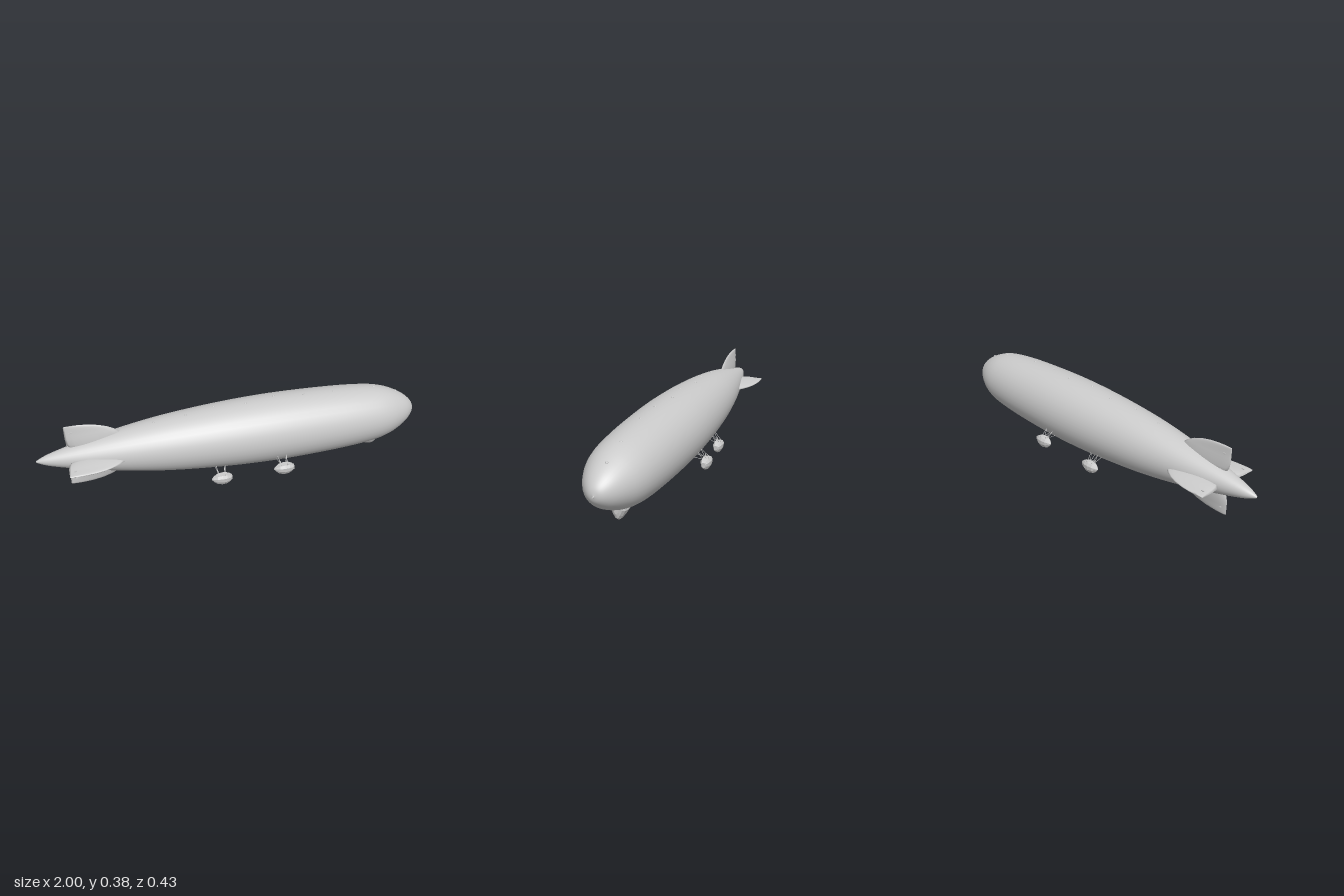
import * as THREE from 'three';

const AXIS = 0.208; // height of the hull centre line
const grey = new THREE.MeshStandardMaterial({ color: 0xcccccc });
const faceted = new THREE.MeshStandardMaterial({ color: 0xcccccc, flatShading: true });

// hull profile: [x, radius] from tail to nose
const PROFILE = [[-1, 0.002], [-0.985, 0.011], [-0.93, 0.032], [-0.8, 0.065], [-0.6, 0.106], [-0.4, 0.137],
  [-0.2, 0.157], [0, 0.17], [0.2, 0.1755], [0.4, 0.173], [0.6, 0.165], [0.74, 0.152], [0.82, 0.135],
  [0.88, 0.111], [0.93, 0.083], [0.965, 0.054], [0.985, 0.028], [0.992, 0.003]];

function hullRadius(x) {
  const i = Math.max(1, PROFILE.findIndex((p) => p[0] >= x));
  const [a, b] = [PROFILE[i - 1], PROFILE[i]];
  return THREE.MathUtils.lerp(a[1], b[1], (x - a[0]) / (b[0] - a[0]));
}

function add(parent, name, geometry, material = grey) {
  const mesh = new THREE.Mesh(geometry, material);
  mesh.name = name;
  parent.add(mesh);
  return mesh;
}

// skin over equal-sized rings of [x, y, z], closed at both ends
function loft(rings) {
  const n = rings[0].length, index = [];
  const pos = rings.flat();
  for (let i = 0; i < rings.length - 1; i++) {
    for (let j = 0; j < n; j++) {
      const a = i * n + j, b = i * n + (j + 1) % n;
      index.push(a, b, b + n, a, b + n, a + n);
    }
  }
  const last = (rings.length - 1) * n;
  for (let j = 1; j < n - 1; j++) index.push(0, j + 1, j, last, last + j, last + j + 1);
  const g = new THREE.BufferGeometry();
  g.setAttribute('position', new THREE.Float32BufferAttribute(pos.flat(), 3));
  g.setIndex(index);
  g.computeVertexNormals();
  return g;
}

function rod(parent, name, from, to, radius) {
  const a = new THREE.Vector3(...from), b = new THREE.Vector3(...to);
  const mesh = add(parent, name, new THREE.CylinderGeometry(radius, radius, a.distanceTo(b), 6));
  mesh.position.copy(a).add(b).multiplyScalar(0.5);
  mesh.quaternion.setFromUnitVectors(new THREE.Vector3(0, 1, 0), b.sub(a).normalize());
}

// tail fin standing along +y, with lens sections shrinking towards the tip
function finGeometry(span) {
  const sections = [[0.03, -0.56, -0.82, 0.02], [0.075, -0.57, -0.845, 0.019], [0.105, -0.58, -0.85, 0.016],
    [0.125, -0.605, -0.85, 0.012], [0.145, -0.64, -0.85, 0.009], [0.16, -0.68, -0.85, 0.007],
    [0.17, -0.725, -0.85, 0.005], [0.175, -0.77, -0.848, 0.003]];
  return loft(sections.map(([u, lead, trail, t]) => {
    const ring = [];
    for (let k = 0; k < 16; k++) {
      const a = k / 16 * Math.PI * 2;
      const x = (lead + trail) / 2 + Math.sin(a) * (lead - trail) / 2;
      ring.push([x, u * span / 0.175, Math.cos(a) * t]);
    }
    return ring;
  }));
}

// engine car with vents and struts; side is +1 or -1 along z
function engineCar(x, y, z, side) {
  const car = new THREE.Group();
  car.name = 'engineCar';
  const outline = [[0.029, -0.016], [0.029, 0.016], [0.014, 0.025], [-0.008, 0.023],
    [-0.027, 0.012], [-0.032, 0], [-0.027, -0.012], [-0.008, -0.023], [0.014, -0.025]];
  const stations = [[-0.054, 0.08], [-0.044, 0.42], [-0.026, 0.82], [0, 1], [0.024, 0.93], [0.042, 0.68], [0.051, 0.42]];
  const body = loft(stations.map(([sx, s]) => outline.map(([py, pz]) => [sx, py * s + (1 - s) * 0.006, pz * s])));
  add(car, 'carBody', body, faceted).position.set(x, y, z * side);
  add(car, 'carWindow', new THREE.BoxGeometry(0.004, 0.022, 0.019), faceted).position.set(x + 0.05, y + 0.005, z * side);
  // exhaust stubs on the roof
  for (const [dx, dz] of [[-0.018, -0.013], [0.014, 0.013]]) {
    add(car, 'exhaust', new THREE.CylinderGeometry(0.003, 0.003, 0.012, 8)).position.set(x + dx, y + 0.031, (z + dz) * side);
  }
  // paired struts reaching the hull
  for (const dx of [-0.024, 0.024]) {
    const r = hullRadius(x + dx) - 0.002;
    const foot = (angle) => [x + dx, AXIS - Math.cos(angle) * r, Math.sin(angle) * r * side];
    const mid = Math.atan2(z, AXIS - y);
    rod(car, 'strut', [x + dx * 0.6, y + 0.022, (z - 0.016) * side], foot(mid + 0.13), 0.0012);
    rod(car, 'strut', [x + dx * 0.6, y + 0.026, (z + 0.008) * side], foot(mid + 0.13), 0.0012);
    rod(car, 'strut', [x + dx * 0.6, y + 0.022, (z - 0.016) * side], foot(mid - 0.08), 0.0012);
  }
  return car;
}

export function createModel() {
  const model = new THREE.Group();
  model.name = 'airship';

  // hull
  const curve = new THREE.SplineCurve(PROFILE.map(([x, r]) => new THREE.Vector2(r, x)));
  const hull = add(model, 'hull', new THREE.LatheGeometry(curve.getPoints(68), 36).rotateZ(-Math.PI / 2));
  hull.position.y = AXIS;

  // mooring spindle at the nose
  const spindle = add(model, 'noseSpindle', new THREE.CylinderGeometry(0.003, 0.005, 0.014, 8).rotateZ(-Math.PI / 2));
  spindle.position.set(0.993, AXIS - 0.003, 0);

  // four fins, each with a small hinge fitting through the trailing part
  for (let i = 0; i < 4; i++) {
    const fin = new THREE.Group();
    fin.name = 'tailFin';
    const span = i === 2 ? 0.162 : 0.174;
    add(fin, 'finBlade', finGeometry(span));
    add(fin, 'finHinge', new THREE.BoxGeometry(0.012, 0.006, 0.02)).position.set(-0.82, span * 0.8, 0);
    fin.position.y = AXIS;
    fin.rotation.x = i * Math.PI / 2;
    model.add(fin);
  }

  // control car: long wedge under the hull, deepest near its front
  const keel = [[0.45, 0.036, 0.004], [0.52, 0.031, 0.016], [0.6, 0.027, 0.026], [0.68, 0.023, 0.032],
    [0.725, 0.02, 0.035], [0.74, 0.009, 0.035], [0.765, 0.003, 0.035], [0.785, 0.006, 0.033], [0.8, 0.018, 0.026], [0.807, 0.04, 0.016]];
  add(model, 'controlCar', loft(keel.map(([x, low, w]) => {
    const top = AXIS - hullRadius(x) + 0.018, h = top - low;
    return [[1, -0.9], [1, 0.9], [0.6, 1], [0.25, 0.6], [0.05, 0.25], [0, 0], [0.05, -0.25], [0.25, -0.6], [0.6, -1]]
      .map(([v, s]) => [x, low + v * h, s * w]);
  })), faceted);

  // engine cars in two mirrored pairs
  for (const side of [1, -1]) {
    model.add(engineCar(0.205, 0.071, 0.192, side), engineCar(-0.11, 0.035, 0.147, side));
  }

  // vent hoods along the crown of the hull
  const vents = [[-0.42, 0.006], [-0.26, 0.01], [-0.11, -0.011], [0.05, 0.01], [0.205, -0.013],
    [0.36, 0.01], [0.52, 0.01], [0.76, -0.011], [0.89, -0.011]];
  for (const [x, z] of vents) {
    const vent = add(model, 'ventHood', new THREE.SphereGeometry(0.007, 10, 6));
    vent.scale.set(0.9, 0.6, 1);
    vent.position.set(x, AXIS + Math.sqrt(hullRadius(x) ** 2 - z * z), z);
  }
  return model;
}
